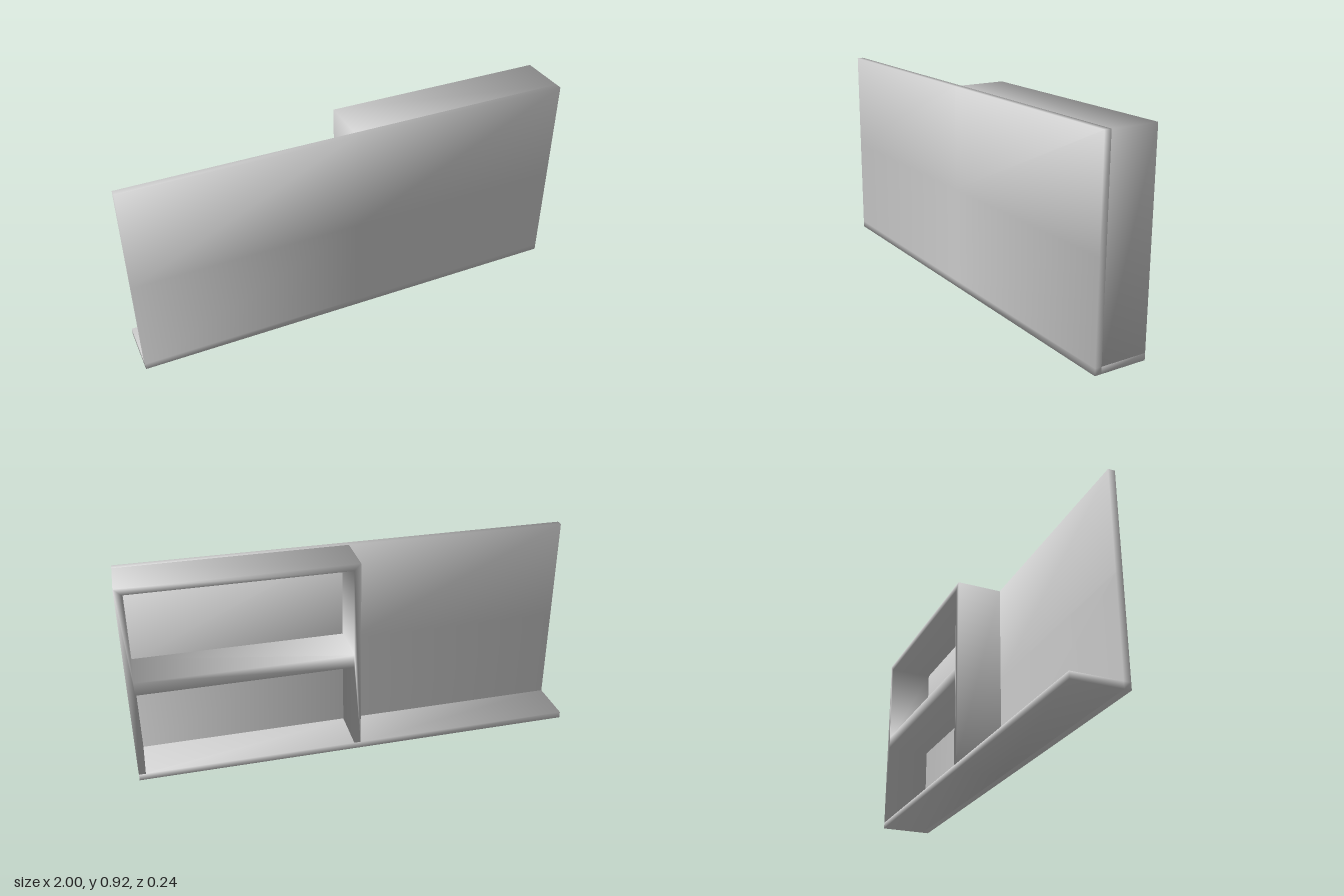
import * as THREE from 'three';

const T = 0.03;      // board thickness
const H = 0.92;      // overall height
const BACK = -0.12;  // rear edge
const INNER = 0.09;  // rear face of the front panel

const material = new THREE.MeshStandardMaterial({ color: 0xcccccc });

// Soft shading: at each corner, average the distinct directions of the faces that meet.
// With hiddenFront the +z face, which lies against the panel, is left out.
function soften(geometry, hiddenFront = false) {
  const geo = geometry.index ? geometry.toNonIndexed() : geometry;
  geo.computeVertexNormals();
  const p = geo.attributes.position, n = geo.attributes.normal;
  const corners = new Map();
  const key = (i) => [p.getX(i), p.getY(i), p.getZ(i)].map((v) => Math.round(v * 1000)).join();
  for (let i = 0; i < p.count; i++) {
    const dir = new THREE.Vector3().fromBufferAttribute(n, i);
    if (!corners.has(key(i))) corners.set(key(i), []);
    const list = corners.get(key(i));
    if (hiddenFront && dir.z > 0.5) continue;
    if (!list.some((d) => d.dot(dir) > 0.99)) list.push(dir);
  }
  for (let i = 0; i < p.count; i++) {
    const sum = new THREE.Vector3();
    corners.get(key(i)).forEach((d) => sum.add(d));
    sum.normalize();
    n.setXYZ(i, sum.x, sum.y, sum.z);
  }
  return geo;
}

function part(name, geometry) {
  const mesh = new THREE.Mesh(geometry, material);
  mesh.name = name;
  return mesh;
}

const outline = (points) => points.map(([x, y]) => new THREE.Vector2(x, y));

export function createModel() {
  const group = new THREE.Group();
  group.name = 'counter';

  // Full-width front panel, with a narrow row along its foot
  const panel = new THREE.BoxGeometry(2, 3, T, 2, 3, 1);
  panel.translate(0, 1.5, (INNER + 0.12) / 2);
  const rows = [0, T, H / 2, H];
  const pos = panel.attributes.position;
  for (let i = 0; i < pos.count; i++) pos.setY(i, rows[Math.round(pos.getY(i))]);
  group.add(part('frontPanel', soften(panel)));

  // Full-width base board
  const base = new THREE.BoxGeometry(2, T, INNER - BACK, 2, 1, 1);
  base.translate(0, T / 2, (INNER + BACK) / 2);
  group.add(part('baseBoard', soften(base, true)));

  // Two stacked compartments, open at the back, standing on the base board
  const mid = H / 2;
  const shape = new THREE.Shape(outline([
    [0, T], [T, T], [T, mid - T], [1 - T, mid - T], [1 - T, T], [1, T], [1, H], [0, H],
  ]));
  shape.holes.push(new THREE.Path(outline([
    [T, mid + T], [T, H - T], [1 - T, H - T], [1 - T, mid + T],
  ])));
  const frame = new THREE.ExtrudeGeometry(shape, { depth: INNER - BACK, bevelEnabled: false });
  frame.translate(0, 0, BACK);
  group.add(part('shelfFrame', soften(frame, true)));

  return group;
}
